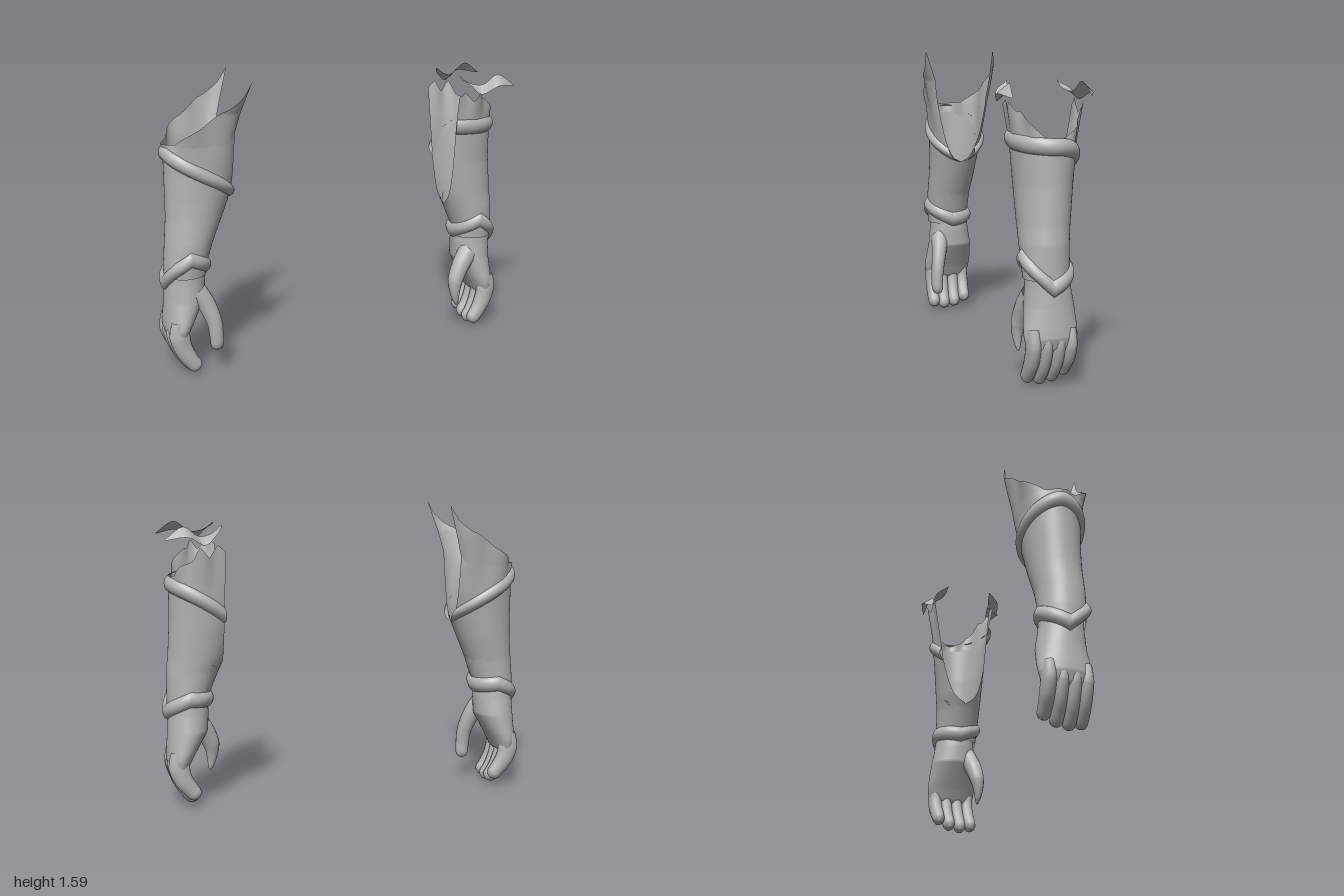
import * as THREE from 'three';
import { ParametricGeometry } from 'three/addons/geometries/ParametricGeometry.js';

const clay = new THREE.MeshStandardMaterial({ color: 0xb4b4b4, side: THREE.DoubleSide });
clay.name = 'plain grey';

// Linear lookup in rows [key, a, b, ...] sorted by key
function lookup(rows, t) {
  if (t <= rows[0][0]) return rows[0].slice(1);
  for (let i = 1; i < rows.length; i++) {
    const p = rows[i - 1], q = rows[i];
    if (t <= q[0]) {
      const f = (t - p[0]) / (q[0] - p[0]);
      return p.slice(1).map((n, j) => n + (q[j + 1] - n) * f);
    }
  }
  return rows[rows.length - 1].slice(1);
}

// Surface from fn(u, v) -> [x, y, z]; side -1 mirrors it in x
function surface(name, side, fn, slices, stacks) {
  const geo = new ParametricGeometry((u, v, out) => {
    const [x, y, z] = fn(side > 0 ? u : 1 - u, v);
    out.set(side * x, y, z);
  }, slices, stacks);
  const mesh = new THREE.Mesh(geo, clay);
  mesh.name = name;
  return mesh;
}

// Wall round an arm: elliptical rows [y, centreX, radiusX, centreZ, radiusZ], open where x < clip
function shell(name, side, rows, clip, top, bottom, bulge = () => 0, shift = () => 0, stacks = 24) {
  return surface(name, side, (u, v) => {
    const k = u * 2 - 1;
    const y = top(k) + (bottom(k) - top(k)) * v;
    const [cx, rx, cz, rz] = lookup(rows, y);
    const c = (clip - cx) / rx;
    const a = k * (c <= -1 ? Math.PI : Math.acos(c));
    const d = bulge(v, k);
    return [cx + (rx + d) * Math.cos(a) + shift(v, k), y, cz + (rz + d) * Math.sin(a)];
  }, 64, stacks);
}

// Tapered rounded digit along a path, radii in the bending plane and across it
function digit(name, side, points, radii, widths) {
  const curve = new THREE.CatmullRomCurve3(points.map(p => new THREE.Vector3(...p)));
  const at = (list, t) => {
    const f = t * (list.length - 1), i = Math.min(Math.floor(f), list.length - 2);
    return list[i] + (list[i + 1] - list[i]) * (f - i);
  };
  return surface(name, side, (u, v) => {
    const p = curve.getPoint(v), t = curve.getTangent(v), a = u * Math.PI * 2;
    const n = Math.hypot(t.x, t.y);
    const cap = v > 0.86 ? Math.sqrt(Math.max(0, 1 - ((v - 0.86) / 0.14) ** 2)) : 1;
    const r = at(radii, v) * cap * Math.cos(a);
    return [p.x - t.y / n * r, p.y + t.x / n * r, p.z + at(widths, v) * cap * Math.sin(a)];
  }, 14, 24);
}

// Loose torn strip between two edges
function strip(name, zSign, edgeA, edgeB) {
  const [a, b] = [edgeA, edgeB].map(e =>
    new THREE.CatmullRomCurve3(e.map(p => new THREE.Vector3(p[0], p[1], p[2] * zSign))));
  return surface(name, 1, (u, v) => a.getPoint(u).lerp(b.getPoint(u), v).toArray(), 20, 3);
}

const wrist = [[0.45, 0.865, 0.11, -0.02, 0.11], [0.6, 0.86, 0.115, -0.015, 0.12]];
const handRows = [
  [0.17, 0.92, 0.008, -0.025, 0.1], [0.2, 0.92, 0.05, -0.025, 0.125], [0.25, 0.915, 0.07, -0.025, 0.138],
  [0.3, 0.9, 0.083, -0.027, 0.138], [0.4, 0.868, 0.108, -0.03, 0.128], [0.5, 0.862, 0.108, -0.025, 0.115],
  [0.62, 0.86, 0.1, -0.02, 0.108],
];
const cuffLine = [[-1, 0.57], [-0.5, 0.585], [-0.25, 0.545], [0, 0.505], [0.25, 0.585], [0.5, 0.65], [0.75, 0.61], [1, 0.57]];

// Hand with four curled fingers and a thumb, plus the pointed wrist cuff
function addHand(arm, side, thumbPath, thumbRadii) {
  arm.add(shell('palm', side, handRows, 0, () => 0.62, () => 0.17));
  [0.07, 0.008, -0.056, -0.118].forEach((z, i) => {
    const drop = [0.012, 0, 0.008, 0.035][i];
    arm.add(digit('finger' + (i + 1), side, [
      [0.92, 0.3, z], [0.928, 0.22, z], [0.905, 0.13 + drop * 0.5, z],
      [0.868, 0.06 + drop, z + 0.003], [0.825, 0.008 + drop, z + 0.004],
    ], [0.05, 0.057, 0.05, 0.043, 0.038], [0.032, 0.037, 0.037, 0.035, 0.032]));
  });
  arm.add(digit('thumb', side, thumbPath, thumbRadii, thumbRadii.map(r => r * 0.9)));
  const mid = k => lookup(cuffLine, k)[0];
  arm.add(shell('wristCuff', side, wrist, 0, k => mid(k) + 0.045, k => mid(k) - 0.045,
    v => 0.028 * Math.sin(Math.PI * v) ** 0.6 - 0.005, undefined, 12));
}

// Sleeve, rolled elbow band and torn cloth above it
function addSleeve(arm, side, rows, clip, band, rim, flare, shift) {
  arm.add(shell('sleeve', side, rows, clip, band, () => 0.54));
  arm.add(shell('elbowBand', side, rows, clip, k => band(k) + 0.045, k => band(k) - 0.04,
    v => 0.022 * Math.sin(Math.PI * v) ** 0.7, undefined, 10));
  arm.add(shell('tornCloth', side, rows, clip, rim, band, flare, shift));
}

export function createModel() {
  const model = new THREE.Group();
  model.name = 'pairOfArms';

  // Right arm: slanted band and two tall spikes
  const right = new THREE.Group();
  right.name = 'rightArm';
  const rightRows = [
    ...wrist, [0.72, 0.835, 0.13, -0.015, 0.125], [0.85, 0.8, 0.152, -0.025, 0.133],
    [0.95, 0.778, 0.172, -0.03, 0.14], [1.1, 0.752, 0.197, -0.035, 0.153],
    [1.25, 0.735, 0.215, -0.035, 0.17], [1.42, 0.74, 0.22, -0.03, 0.2], [1.59, 0.74, 0.22, 0, 0.245],
  ];
  const rightRim = [[0, 1.25], [0.25, 1.26], [0.6, 1.36], [0.85, 1.45], [0.93, 1.5], [1, 1.59]];
  addSleeve(right, -1, rightRows, 0.612,
    k => 1.2 - 0.23 * Math.abs(k) ** 1.5,
    k => lookup(rightRim, Math.abs(k))[0],
    (v, k) => 0.012 * (1 - v) * Math.cos(k * 14),
    (v, k) => -0.072 * Math.max(0, (Math.abs(k) - 0.8) / 0.2) * Math.max(0, 1 - v * 2.2));
  addHand(right, -1,
    [[0.83, 0.46, 0.04], [0.775, 0.38, 0.06], [0.738, 0.28, 0.08], [0.73, 0.2, 0.088], [0.725, 0.115, 0.085]],
    [0.06, 0.05, 0.042, 0.038, 0.036]);

  // Left arm: level band in front, jagged rim and two loose strips
  const left = new THREE.Group();
  left.name = 'leftArm';
  const leftRows = [
    ...wrist, [0.72, 0.835, 0.14, -0.015, 0.125], [0.8, 0.81, 0.155, -0.02, 0.13],
    [1.0, 0.77, 0.185, -0.03, 0.145], [1.2, 0.755, 0.2, -0.035, 0.162], [1.42, 0.75, 0.2, -0.035, 0.195],
  ];
  const leftRim = [
    [-1, 1.37], [-0.9, 1.41], [-0.78, 1.34], [-0.66, 1.4], [-0.55, 1.32], [-0.4, 1.3], [-0.2, 1.24], [0, 1.225],
    [0.2, 1.245], [0.4, 1.32], [0.52, 1.36], [0.6, 1.36], [0.67, 1.41], [0.76, 1.35], [0.9, 1.41], [1, 1.38],
  ];
  addSleeve(left, 1, leftRows, 0.68,
    k => 1.19 - (k < 0 ? 0.16 * k * k : -0.02 * k),
    k => lookup(leftRim, k)[0],
    (v, k) => 0.01 * (1 - v) * Math.cos(k * 18),
    () => 0);
  addHand(left, 1,
    [[0.83, 0.46, 0.04], [0.768, 0.38, 0.06], [0.725, 0.29, 0.075], [0.722, 0.21, 0.082], [0.735, 0.14, 0.08]],
    [0.06, 0.054, 0.045, 0.027, 0.01]);
  [1, -1].forEach(z => left.add(strip(z > 0 ? 'frontStrip' : 'backStrip', z,
    [[0.685, 1.5, 0.13], [0.74, 1.46, 0.14], [0.81, 1.45, 0.17], [0.89, 1.502, 0.185], [0.99, 1.438, 0.2]],
    [[0.685, 1.49, 0.14], [0.72, 1.455, 0.195], [0.78, 1.405, 0.21], [0.87, 1.45, 0.245], [0.985, 1.435, 0.205]])));

  model.add(right, left);
  return model;
}
